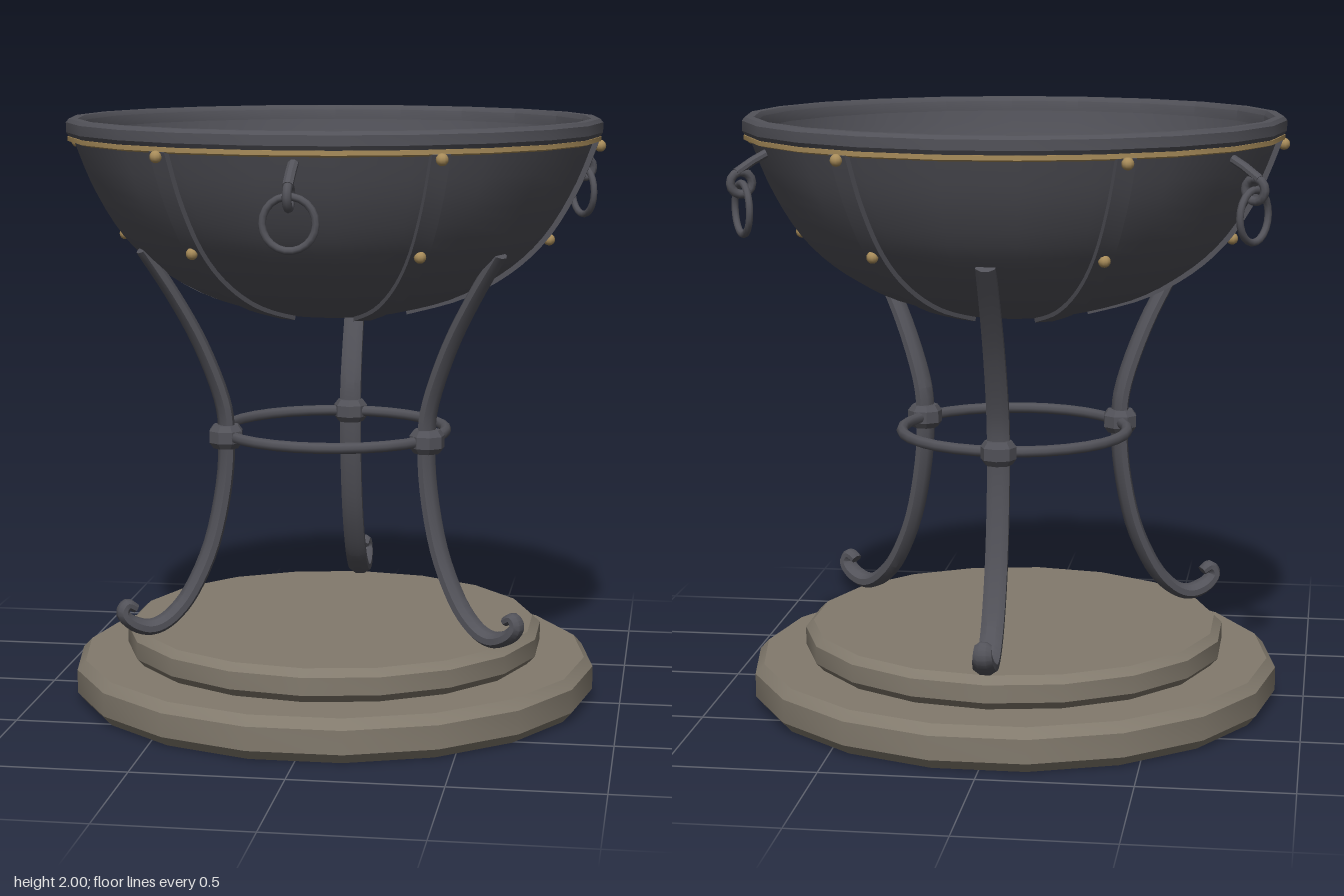
import * as THREE from 'three';
import { toCreasedNormals } from 'three/addons/utils/BufferGeometryUtils.js';

const material = (name, color) => {
  const m = new THREE.MeshStandardMaterial({ color });
  m.name = name;
  return m;
};

export function createModel() {
  const iron = material('iron', 0x525259);
  const stone = material('stone', 0x827a6d);
  const brass = material('brass', 0xa88c5a);
  const coalBlack = material('coal', 0x262626);
  coalBlack.flatShading = true;

  const model = new THREE.Group();
  model.name = 'brazier';
  const body = new THREE.Group();
  body.name = 'body';
  body.position.z = -0.05;
  model.add(body);

  const add = (parent, name, geometry, mat, x = 0, y = 0, z = 0) => {
    const mesh = new THREE.Mesh(geometry, mat);
    mesh.name = name;
    mesh.position.set(x, y, z);
    parent.add(mesh);
    return mesh;
  };
  const vectors = pts => pts.map(([x, y]) => new THREE.Vector2(x, y));
  const spline = (pts, n) => new THREE.SplineCurve(vectors(pts)).getPoints(n);
  const lathe = (pts, sides) => toCreasedNormals(new THREE.LatheGeometry(vectors(pts), sides), 0.5);

  // Group whose local +x points outward at the given angle
  const spoke = (name, degrees) => {
    const g = new THREE.Group();
    g.name = name;
    g.rotation.y = -THREE.MathUtils.degToRad(degrees);
    body.add(g);
    return g;
  };

  // Sweep a cross-section of [normal, sideways] offsets along a path in the xy plane
  const sweep = (path, section, scaleAt = () => 1) => {
    const pos = [], index = [], S = section.length, last = path.length - 1;
    path.forEach((p, i) => {
      const t = path[Math.min(i + 1, last)].clone().sub(path[Math.max(i - 1, 0)]).normalize();
      const s = scaleAt(i / last);
      for (const [n, b] of section) pos.push(p.x - t.y * n * s, p.y + t.x * n * s, b * s);
      if (i === last) return;
      for (let j = 0; j < S; j++) {
        const a = i * S + j, b = i * S + (j + 1) % S;
        index.push(a, b, a + S, b, b + S, a + S);
      }
    });
    for (let j = 1; j < S - 1; j++) {
      index.push(0, j + 1, j, last * S, last * S + j, last * S + j + 1);
    }
    const g = new THREE.BufferGeometry();
    g.setAttribute('position', new THREE.Float32BufferAttribute(pos, 3));
    g.setIndex(index);
    return toCreasedNormals(g, 0.6);
  };

  // Stepped stone plinth with chamfered edges
  add(body, 'plinthBase', lathe([[0, 0], [0.873, 0], [0.903, 0.035], [0.903, 0.115], [0.873, 0.147], [0, 0.147]], 18), stone)
    .rotation.y = Math.PI / 2;
  add(body, 'plinthStep', lathe([[0, 0.14], [0.695, 0.147], [0.722, 0.175], [0.722, 0.235], [0.695, 0.26], [0, 0.26]], 18), stone);

  // Bowl: outer shell, inner shell, lip and brass band
  const outer = [[0.25, 1.347], [0.44, 1.402], [0.6, 1.492], [0.722, 1.61], [0.818, 1.77], [0.882, 1.93]];
  const inner = [[0.865, 1.985], [0.82, 1.82], [0.73, 1.68], [0.56, 1.54], [0.3, 1.45], [0, 1.43]];
  const bowl = new THREE.Group();
  bowl.name = 'bowl';
  bowl.rotation.y = Math.PI / 2;
  body.add(bowl);
  add(bowl, 'bowlOuter', new THREE.LatheGeometry(spline([[0, 1.328], [0.12, 1.332], ...outer], 24), 22), iron);
  add(bowl, 'bowlInner', new THREE.LatheGeometry(spline(inner, 20), 22), iron);
  add(bowl, 'lip', lathe([[0.86, 1.94], [0.897, 1.94], [0.907, 1.955], [0.907, 1.988], [0.897, 2], [0.868, 2], [0.858, 1.985], [0.855, 1.95]], 22), iron);
  add(bowl, 'brassBand', lathe([[0.865, 1.916], [0.902, 1.926], [0.902, 1.941], [0.865, 1.941]], 22), brass);

  // Six riveted straps hugging the bowl
  const strapPath = spline(outer, 18);
  const strapGeo = sweep(strapPath, [[0.01, -0.032], [0.01, 0.032], [-0.014, 0.032], [-0.014, -0.032]]);
  const rivetGeo = new THREE.SphereGeometry(0.02, 10, 8);
  for (let i = 0; i < 6; i++) {
    const g = spoke('strapSet', i * 60);
    add(g, 'strap', strapGeo, iron);
    add(g, 'upperRivet', rivetGeo, brass, 0.898, 1.91);
    add(g, 'lowerRivet', rivetGeo, brass, 0.732, 1.593);
  }

  // Three hanging rings on short stalks
  const oct = (n, b) => Array.from({ length: 8 }, (_, k) => {
    const a = (k + 0.5) * Math.PI / 4;
    return [n * Math.cos(a) / Math.cos(Math.PI / 8), b * Math.sin(a) / Math.cos(Math.PI / 8)];
  });
  const stalkGeo = sweep(vectors([[0.85, 1.905], [0.91, 1.875], [0.965, 1.84]]), oct(0.013, 0.016));
  const eyeGeo = new THREE.TorusGeometry(0.036, 0.015, 8, 14);
  const ringGeo = new THREE.TorusGeometry(0.083, 0.012, 8, 22);
  for (const angle of [90, 210, 330]) {
    const g = spoke('handle', angle);
    add(g, 'stalk', stalkGeo, iron);
    add(g, 'eye', eyeGeo, iron, 0.95, 1.805);
    add(g, 'hangingRing', ringGeo, iron, 0.948, 1.722).rotation.y = Math.PI / 2;
  }

  // Three curved legs with scrolled feet and collars
  const legPath = spline([
    [0.685, 1.575], [0.582, 1.42], [0.487, 1.25], [0.412, 1.06], [0.395, 0.93], [0.405, 0.76], [0.45, 0.56],
    [0.525, 0.4], [0.6, 0.315], [0.67, 0.285], [0.735, 0.303], [0.77, 0.34], [0.755, 0.37], [0.725, 0.355],
  ], 52);
  const legGeo = sweep(legPath, oct(0.025, 0.037), t => (t < 0.25 ? 0.85 + 0.6 * t : t > 0.75 ? 1 - (t - 0.75) * 1.6 : 1));
  const collarGeo = lathe([[0, -0.04], [0.045, -0.04], [0.06, -0.02], [0.06, 0.02], [0.045, 0.04], [0, 0.04]], 8);
  for (const angle of [30, 150, 270]) {
    const g = spoke('legSet', angle);
    add(g, 'leg', legGeo, iron);
    add(g, 'collar', collarGeo, iron, 0.397, 0.927);
  }
  add(body, 'braceRing', new THREE.TorusGeometry(0.385, 0.019, 8, 32), iron, 0, 0.927).rotation.x = Math.PI / 2;

  // Heap of rough coals: x, y, z, radius
  const coals = [
    [-0.075, 1.64, -0.38, 0.138], [0.375, 1.6, -0.11, 0.142], [0.155, 1.65, -0.07, 0.097],
    [-0.05, 1.68, -0.14, 0.127], [0, 1.73, 0, 0.105], [-0.255, 1.65, -0.01, 0.147],
    [-0.145, 1.65, 0.185, 0.132], [-0.04, 1.71, 0.2, 0.077], [-0.27, 1.66, -0.14, 0.1],
    [-0.05, 1.55, 0.02, 0.13],
  ];
  const heap = new THREE.Group();
  heap.name = 'coals';
  body.add(heap);
  coals.forEach(([x, y, z, r], i) => {
    const g = new THREE.IcosahedronGeometry(r, 1);
    const p = g.attributes.position, v = new THREE.Vector3();
    for (let k = 0; k < p.count; k++) {
      v.fromBufferAttribute(p, k);
      // Same offset for every copy of a corner, so the lump stays closed
      const n = v.clone().divideScalar(r);
      v.multiplyScalar(0.95 + 0.08 * Math.sin(n.x * 5.1 + n.y * 7.3 + n.z * 3.7 + i * 2.1));
      p.setXYZ(k, v.x, v.y, v.z);
    }
    g.computeVertexNormals();
    add(heap, 'coal', g, coalBlack, x, y, z).rotation.set(i * 1.3, i * 0.7, i * 2.1);
  });

  return model;
}
